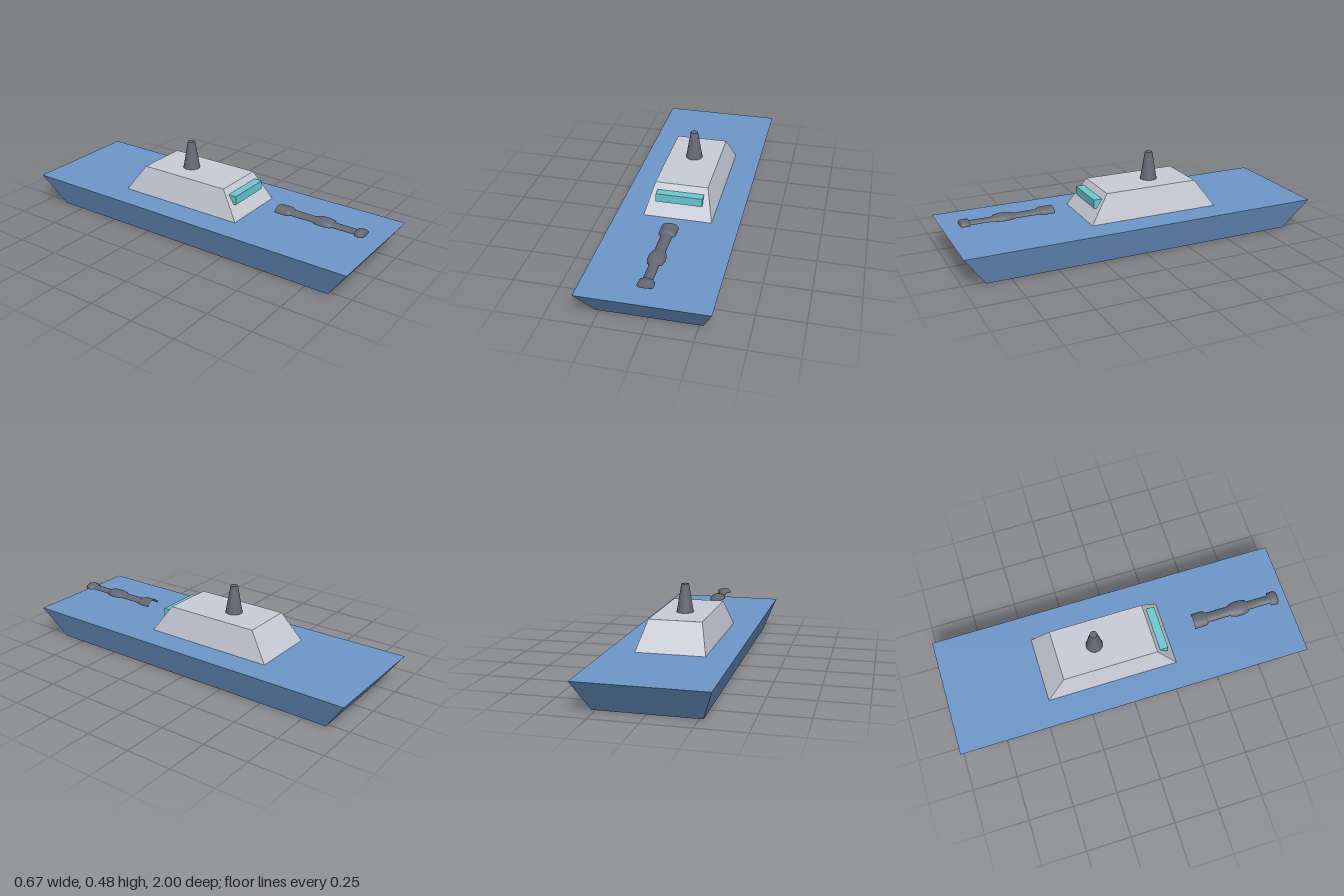
import * as THREE from 'three';

const paint = (name, color, side = THREE.FrontSide) => {
  const m = new THREE.MeshStandardMaterial({ color, side });
  m.name = name;
  return m;
};

// Box whose top and bottom rectangles differ: each is [halfWidth, zBack, zFront]
function taperedBox(y0, y1, bottom, top) {
  const g = new THREE.BoxGeometry(1, 1, 1);
  const p = g.attributes.position;
  for (let i = 0; i < p.count; i++) {
    const up = p.getY(i) > 0;
    const [w, back, front] = up ? top : bottom;
    p.setXYZ(i, Math.sign(p.getX(i)) * w, up ? y1 : y0, p.getZ(i) > 0 ? front : back);
  }
  g.computeVertexNormals();
  return g;
}

export function createModel() {
  const ship = new THREE.Group();
  ship.name = 'ship';
  const blue = paint('hull blue', 0x6c96c8);
  const grey = paint('cabin grey', 0xc8ccd6);
  const glass = paint('window teal', 0x6cc8d2);
  const steel = paint('dark steel', 0x656a76);
  const shell = paint('gun steel', 0x646872, THREE.DoubleSide);

  const add = (name, geometry, material) => {
    const mesh = new THREE.Mesh(geometry, material);
    mesh.name = name;
    ship.add(mesh);
    return mesh;
  };

  // Hull and sloped cabin
  const deck = 0.172, roof = 0.323;
  add('hull', taperedBox(0, deck, [0.27, -0.88, 0.88], [0.333, -1, 1]), blue);
  add('cabin', taperedBox(deck, roof, [0.185, -0.465, 0.273], [0.143, -0.358, 0.17]), grey);

  // Bridge window, a bar standing out of the sloped cabin front
  add('window', new THREE.BoxGeometry(0.252, 0.048, 0.05), glass).position.set(0, 0.267, 0.213);

  // Funnel on the roof
  add('funnel', new THREE.CylinderGeometry(0.02, 0.046, 0.153, 32), steel)
    .position.set(0, roof + 0.0765, -0.145);

  // Gun: flattened upper half of a turned barrel, open below and at the rear
  const profile = [
    [0.045, 0.428], [0.045, 0.495], [0.038, 0.508], [0.03, 0.512], [0.029, 0.64],
    [0.038, 0.655], [0.045, 0.685], [0.045, 0.715], [0.038, 0.748], [0.026, 0.754],
    [0.025, 0.88], [0.038, 0.884], [0.041, 0.9], [0.041, 0.92], [0.034, 0.931], [0, 0.933],
  ].map(([r, z]) => new THREE.Vector2(r, z));
  const barrel = new THREE.LatheGeometry(profile, 20, Math.PI / 2, Math.PI);
  barrel.rotateX(Math.PI / 2);
  barrel.scale(1, 0.64, 1);
  add('gun', barrel, shell).position.y = 0.221;

  return ship;
}
